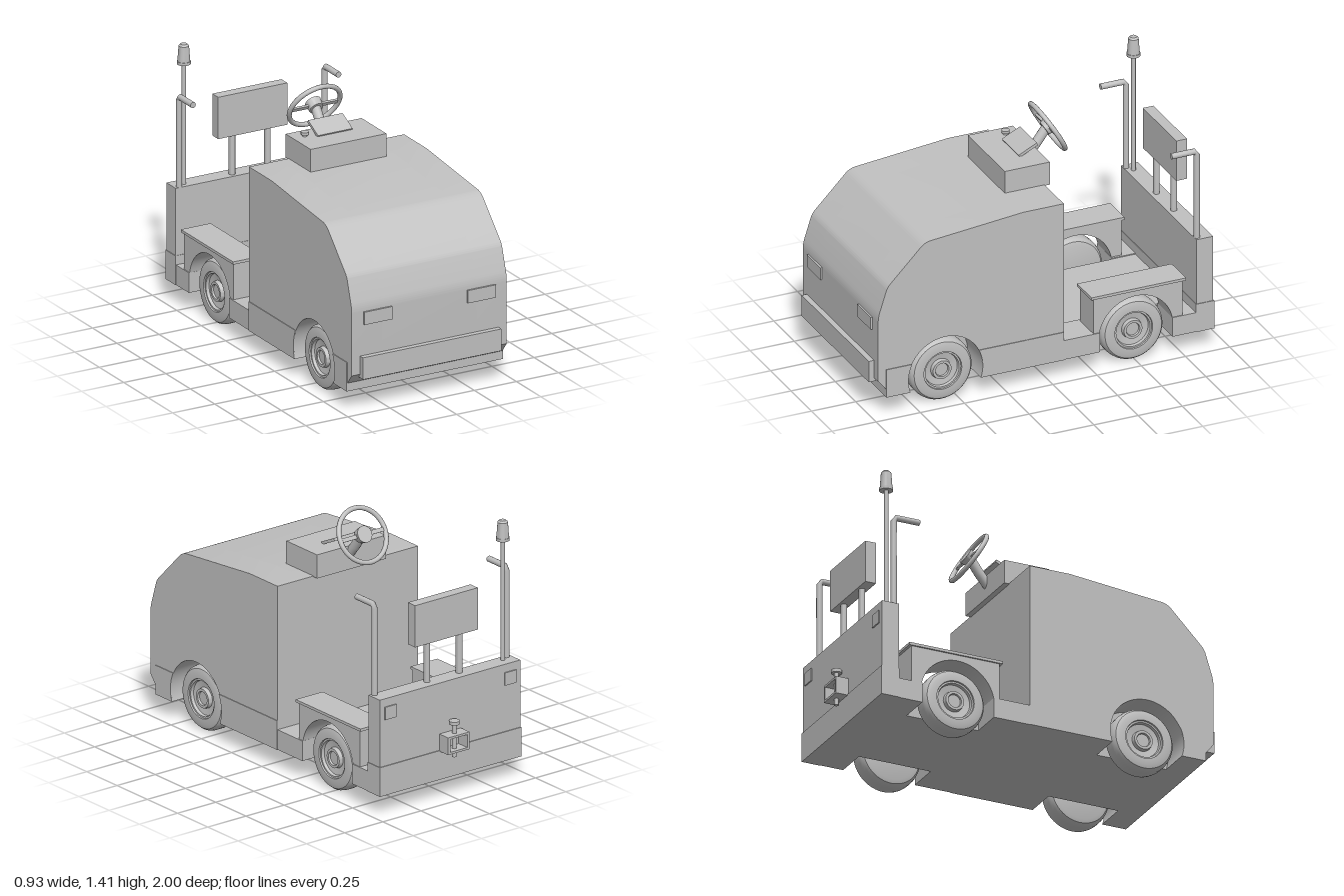
import * as THREE from 'three';
import { toCreasedNormals } from 'three/addons/utils/BufferGeometryUtils.js';

const grey = new THREE.MeshStandardMaterial({ color: 0xc0c0c0 });
grey.name = 'plain grey';

const AXLE_Y = 0.178, ARCH_R = 0.21, FRONT_Z = 0.59, REAR_Z = -0.49;

export function createModel() {
  const model = new THREE.Group();
  model.name = 'towTractor';

  const add = (name, geometry, x = 0, y = 0, z = 0, parent = model) => {
    const mesh = new THREE.Mesh(geometry, grey);
    mesh.name = name;
    mesh.position.set(x, y, z);
    parent.add(mesh);
    return mesh;
  };
  // Box given by its limits on each axis
  const box = (name, x0, x1, y0, y1, z0, z1) =>
    add(name, new THREE.BoxGeometry(x1 - x0, y1 - y0, z1 - z0),
      (x0 + x1) / 2, (y0 + y1) / 2, (z0 + z1) / 2);
  const mirroredBox = (name, x0, x1, ...rest) => {
    box(name + 'Left', x0, x1, ...rest);
    box(name + 'Right', -x1, -x0, ...rest);
  };
  const post = (name, r0, r1, y0, y1, x, z) =>
    add(name, toCreasedNormals(new THREE.CylinderGeometry(r1, r0, y1 - y0, 24), 0.6), x, (y0 + y1) / 2, z);
  const rod = (name, points, r) => {
    const path = new THREE.CatmullRomCurve3(points.map(p => new THREE.Vector3(...p)), false, 'catmullrom', 0.1);
    const [a, b] = [points[0], points[points.length - 1]];
    add(name, new THREE.TubeGeometry(path, 24, r, 14));
    // end caps
    for (const [p, t, s] of [[a, 0, -1], [b, 1, 1]]) {
      const cap = add(name + 'Cap', new THREE.CircleGeometry(r, 14), ...p);
      cap.lookAt(path.getTangent(t).multiplyScalar(s).add(cap.position));
    }
  };
  // Side profile drawn in (z, y), extruded from x0 to x1
  const sideExtrude = (name, shape, x0, x1) => {
    const g = new THREE.ExtrudeGeometry(shape, { depth: x1 - x0, bevelEnabled: false, curveSegments: 24 });
    g.rotateY(-Math.PI / 2);
    g.translate(x1, 0, 0);
    return add(name, toCreasedNormals(g, 0.35));
  };
  const mirroredExtrude = (name, shape, x0, x1) => {
    sideExtrude(name + 'Left', shape, x0, x1);
    sideExtrude(name + 'Right', shape, -x1, -x0);
  };
  // Closes a profile along its bottom edge, with a wheel arch cut out
  const archBottom = (shape, z, y) => {
    const a = Math.asin((y - AXLE_Y) / ARCH_R);
    shape.lineTo(z - ARCH_R * Math.cos(a), y);
    shape.absarc(z, AXLE_Y, ARCH_R, Math.PI - a, a, true);
    return shape;
  };

  // Hood: core between the wheels plus arched side sections
  const hoodProfile = arch => {
    const s = new THREE.Shape();
    s.moveTo(0.925, 0.11);
    s.lineTo(0.925, 0.155);
    s.lineTo(0.97, 0.21);
    s.lineTo(0.97, 0.55);
    s.quadraticCurveTo(0.97, 0.58, 0.96, 0.61);
    s.lineTo(0.925, 0.72);
    s.quadraticCurveTo(0.918, 0.742, 0.9, 0.76);
    s.lineTo(0.73, 0.932);
    s.quadraticCurveTo(0.705, 0.957, 0.67, 0.96);
    s.lineTo(0.15, 1.01);
    s.lineTo(-0.08, 1.01);
    s.lineTo(-0.08, 0.11);
    return arch ? archBottom(s, FRONT_Z, 0.11) : s;
  };
  sideExtrude('hoodCore', hoodProfile(false), -0.28, 0.28);
  mirroredExtrude('hoodSide', hoodProfile(true), 0.28, 0.46);

  // Skirt plates along the lower hood
  const skirt = new THREE.Shape();
  skirt.moveTo(0.925, 0.11);
  skirt.lineTo(0.925, 0.27);
  // the arch is cut through the whole skirt height
  const a = Math.asin((0.27 - AXLE_Y) / ARCH_R), b = Math.asin((0.11 - AXLE_Y) / ARCH_R);
  skirt.lineTo(FRONT_Z + ARCH_R * Math.cos(a), 0.27);
  skirt.absarc(FRONT_Z, AXLE_Y, ARCH_R, a, b, true);
  mirroredExtrude('frontSkirt', skirt, 0.46, 0.464);
  const skirtBack = new THREE.Shape();
  skirtBack.moveTo(-0.08, 0.11);
  skirtBack.lineTo(FRONT_Z - ARCH_R * Math.cos(b), 0.11);
  skirtBack.absarc(FRONT_Z, AXLE_Y, ARCH_R, Math.PI - b, Math.PI - a, true);
  skirtBack.lineTo(-0.08, 0.27);
  mirroredExtrude('middleSkirt', skirtBack, 0.46, 0.464);

  // Front bumper and headlights
  box('bumper', -0.41, 0.41, 0.19, 0.31, 0.96, 1.0);
  mirroredBox('headlight', 0.225, 0.39, 0.48, 0.55, 0.965, 0.98);

  // Rear platform: floor, sills and fenders
  box('floor', -0.277, 0.277, 0.11, 0.215, -0.83, -0.08);
  mirroredBox('frontSill', 0.277, 0.46, 0.11, 0.22, REAR_Z + 0.205, -0.08);
  mirroredBox('rearSill', 0.277, 0.46, 0.11, 0.22, -0.83, REAR_Z - 0.205);
  const fender = new THREE.Shape();
  fender.moveTo(-0.25, 0.22);
  fender.lineTo(-0.25, 0.42);
  fender.lineTo(-0.755, 0.42);
  fender.lineTo(-0.755, 0.22);
  mirroredExtrude('fender', archBottom(fender, REAR_Z, 0.22), 0.29, 0.455);
  mirroredBox('fenderTop', 0.288, 0.464, 0.42, 0.435, -0.77, -0.235);

  // Rear wall with thicker foot and lights
  box('rearWall', -0.46, 0.46, 0.27, 0.64, -0.925, -0.83);
  box('rearWallFoot', -0.464, 0.464, 0.11, 0.27, -0.93, -0.827);
  mirroredBox('rearLight', 0.355, 0.43, 0.525, 0.595, -0.932, -0.924);

  // Hitch: open box with a drop pin
  box('hitchTop', -0.07, 0.07, 0.348, 0.36, -0.997, -0.925);
  box('hitchBottom', -0.07, 0.07, 0.265, 0.277, -0.997, -0.925);
  mirroredBox('hitchSide', 0.056, 0.07, 0.277, 0.348, -0.997, -0.925);
  post('hitchPin', 0.012, 0.012, 0.23, 0.415, 0, -0.96);
  post('hitchPinHead', 0.028, 0.028, 0.41, 0.428, 0, -0.96);

  // Backrest, grab rails and beacon
  box('backrest', -0.205, 0.205, 0.86, 1.09, -0.895, -0.835);
  for (const s of [-1, 1]) {
    post('backrestPost', 0.017, 0.017, 0.64, 0.86, s * 0.105, -0.866);
    rod('grabRail', [[s * 0.432, 0.64, -0.845], [s * 0.432, 1.12, -0.845],
      [s * 0.432, 1.136, -0.832], [s * 0.432, 1.136, -0.7]], 0.016);
  }
  post('beaconPost', 0.012, 0.012, 0.64, 1.3, -0.39, -0.868);
  post('beaconBase', 0.036, 0.036, 1.3, 1.316, -0.39, -0.868);
  post('beaconLamp', 0.033, 0.027, 1.316, 1.4, -0.39, -0.868);
  post('beaconCap', 0.027, 0.018, 1.4, 1.41, -0.39, -0.868);

  // Dashboard with sloped display and knob
  box('dashboard', -0.225, 0.225, 1.005, 1.135, -0.11, 0.145);
  const display = add('display', new THREE.BoxGeometry(0.205, 0.016, 0.115), 0, 1.16, -0.045);
  display.rotation.x = 0.45;
  post('knobStem', 0.012, 0.012, 1.135, 1.145, -0.155, -0.035);
  post('knob', 0.021, 0.021, 1.145, 1.16, -0.155, -0.035);

  // Steering wheel, tilted towards the driver
  rod('steeringColumn', [[0, 1.07, -0.08], [0, 1.14, -0.14], [0, 1.215, -0.195]], 0.026);
  const steering = new THREE.Group();
  steering.name = 'steeringWheel';
  steering.position.set(0, 1.218, -0.202);
  steering.rotation.x = 0.52;
  model.add(steering);
  add('steeringRim', new THREE.TorusGeometry(0.145, 0.013, 12, 48), 0, 0, 0, steering);
  const hub = new THREE.CylinderGeometry(0.045, 0.038, 0.045, 28).rotateX(-Math.PI / 2);
  add('steeringHub', toCreasedNormals(hub, 0.6), 0, 0, 0, steering);
  add('steeringSpokes', new THREE.BoxGeometry(0.28, 0.022, 0.012), 0, 0, 0, steering);

  // Wheels: tyre, recessed rim and hub turned from one profile
  const profile = [[0, 0], [0.14, 0], [0.16, 0.006], [0.171, 0.02], [0.175, 0.04], [0.175, 0.08],
    [0.171, 0.1], [0.16, 0.114], [0.14, 0.12], [0.107, 0.12], [0.105, 0.112], [0.096, 0.112],
    [0.092, 0.096], [0.056, 0.09], [0.052, 0.112], [0.038, 0.112], [0.035, 0.102], [0, 0.102]];
  const wheel = toCreasedNormals(
    new THREE.LatheGeometry(profile.map(p => new THREE.Vector2(...p)), 48).rotateZ(-Math.PI / 2), 0.6);
  for (const [name, z] of [['frontWheel', FRONT_Z], ['rearWheel', REAR_Z]])
    for (const s of [-1, 1])
      add(name, wheel, s * 0.31, AXLE_Y, z).rotation.y = s > 0 ? 0 : Math.PI;

  return model;
}
